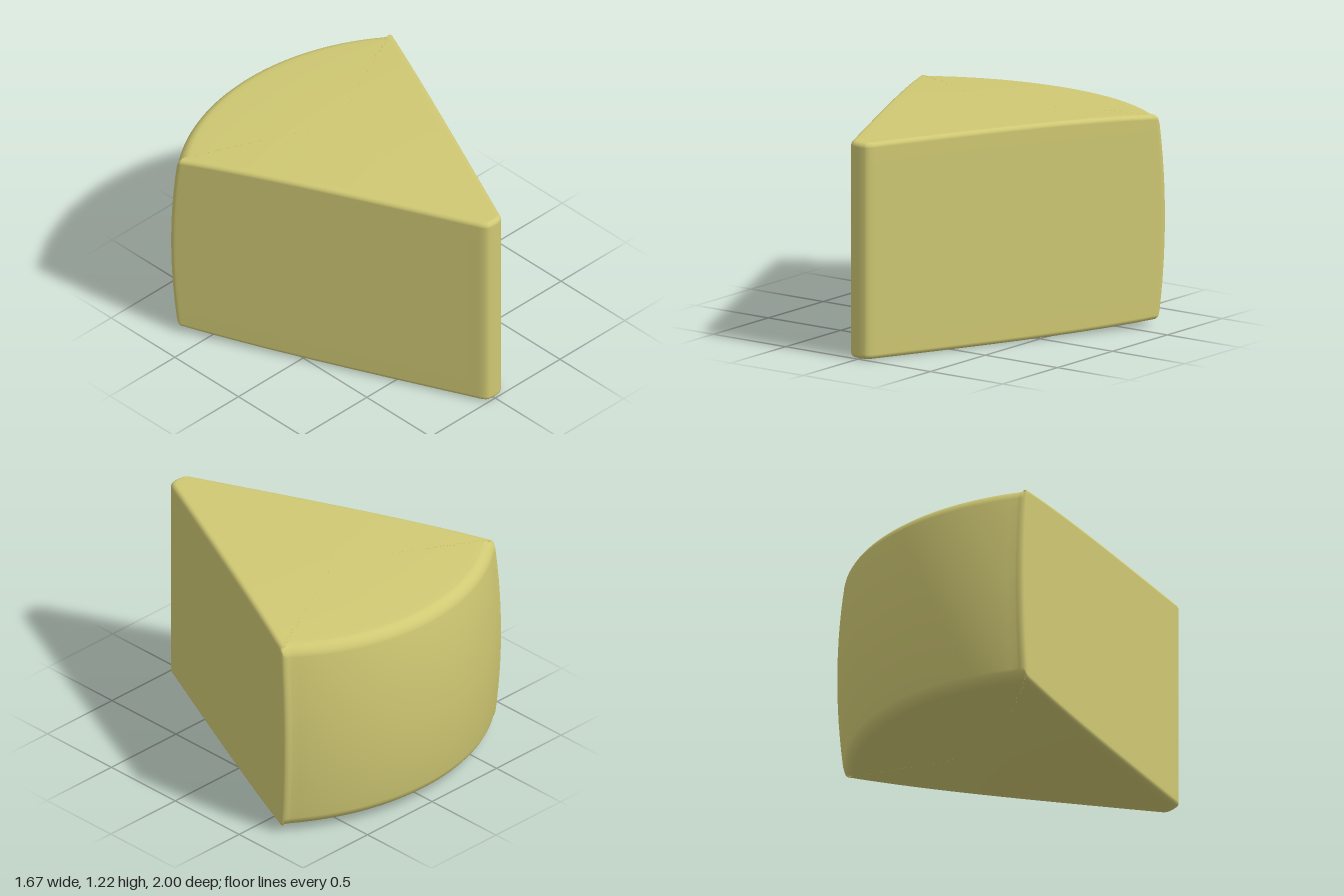
import * as THREE from 'three';

const HEIGHT = 1.225, MID = HEIGHT / 2, APEX_Z = 1.13, RIND_R = 2.13;

// Plan outline from the blunt tip round the left side, mirrored for the right.
function planOutline() {
  const half = [];
  const add = (x, z) => half.push({ x, z });
  const quad = (a, c, b, n) => {
    for (let i = 0; i <= n; i++) {
      const t = i / n, s = 1 - t;
      add(s * s * a[0] + 2 * s * t * c[0] + t * t * b[0], s * s * a[1] + 2 * s * t * c[1] + t * t * b[1]);
    }
  };
  add(0, 1);
  add(0.02, 0.999);
  quad([0.04, 0.996], [0.065, 0.99], [0.085, 0.94], 6);
  for (let i = 1; i < 24; i++) add(0.085 + 0.745 * i / 24, 0.94 - 1.6 * i / 24);
  quad([0.83, -0.66], [0.855, -0.7], [0.8, -0.719], 8);
  for (let i = 1; i <= 24; i++) {
    const x = 0.8 * (1 - i / 24);
    add(x, 0.283 - Math.sqrt(1.283 ** 2 - x * x));
  }
  const mirrored = half.slice(1, -1).reverse().map(p => ({ x: -p.x, z: p.z }));
  const pts = half.concat(mirrored), n = pts.length;
  // Outward normal and edge rounding: wide on the rind, tight on the cuts.
  return pts.map((p, i) => {
    const a = pts[(i + n - 1) % n], b = pts[(i + 1) % n];
    const tx = b.x - a.x, tz = b.z - a.z, len = Math.hypot(tx, tz);
    const nx = -tz / len, nz = tx / len;
    return { ...p, nx, nz, round: 0.028 + 0.035 * THREE.MathUtils.smoothstep(-nz, 0, 0.7) };
  });
}

// Ring recipe from bottom centre to top centre: cap scale, rounding angle, side fraction.
function ringRecipe() {
  const bottom = [];
  for (const scale of [0, 0.15, 0.3, 0.45, 0.6, 0.75, 0.87, 0.95]) bottom.push({ scale, angle: 0, side: 0 });
  for (let i = 0; i <= 6; i++) bottom.push({ scale: 1, angle: i / 6 * Math.PI / 2, side: 0 });
  const sides = [];
  for (let i = 1; i < 12; i++) sides.push({ scale: 1, angle: Math.PI / 2, side: i / 12 });
  const top = bottom.map(r => ({ ...r, side: 1 })).reverse();
  return [...bottom, ...sides, ...top];
}

function wedgeGeometry() {
  const outline = planOutline(), rings = ringRecipe(), n = outline.length;
  const positions = [], index = [];
  for (const { scale, angle, side } of rings) {
    for (const p of outline) {
      const inset = p.round * (1 - Math.sin(angle));
      let x = (p.x - p.nx * inset) * scale;
      let z = -0.25 + (p.z - p.nz * inset + 0.25) * scale;
      const rise = p.round * (1 - Math.cos(angle));
      let y = side === 0 ? rise : side === 1 ? HEIGHT - rise
        : p.round + (HEIGHT - 2 * p.round) * side;
      // Bulge the rind and let both caps fall away towards it.
      const f = (Math.hypot(x, z - APEX_Z) / RIND_R) ** 4;
      const h = (y - MID) / MID;
      const pull = 1 - 0.025 * f * h * h;
      x *= pull;
      z = APEX_Z + (z - APEX_Z) * pull;
      y = MID + (y - MID) * (1 - 0.075 * f);
      positions.push(x, y, z);
    }
  }
  for (let k = 0; k < rings.length - 1; k++) {
    for (let i = 0; i < n; i++) {
      const a = k * n + i, b = k * n + (i + 1) % n;
      index.push(a, b, b + n, a, b + n, a + n);
    }
  }
  const geometry = new THREE.BufferGeometry();
  geometry.setAttribute('position', new THREE.Float32BufferAttribute(positions, 3));
  geometry.setIndex(index);
  geometry.computeVertexNormals();
  return geometry;
}

export function createModel() {
  const group = new THREE.Group();
  group.name = 'cheeseWedge';
  const cheese = new THREE.MeshStandardMaterial({ color: 0xcfc873 });
  cheese.name = 'pale yellow cheese';
  const wedge = new THREE.Mesh(wedgeGeometry(), cheese);
  wedge.name = 'wedge';
  group.add(wedge);
  return group;
}
